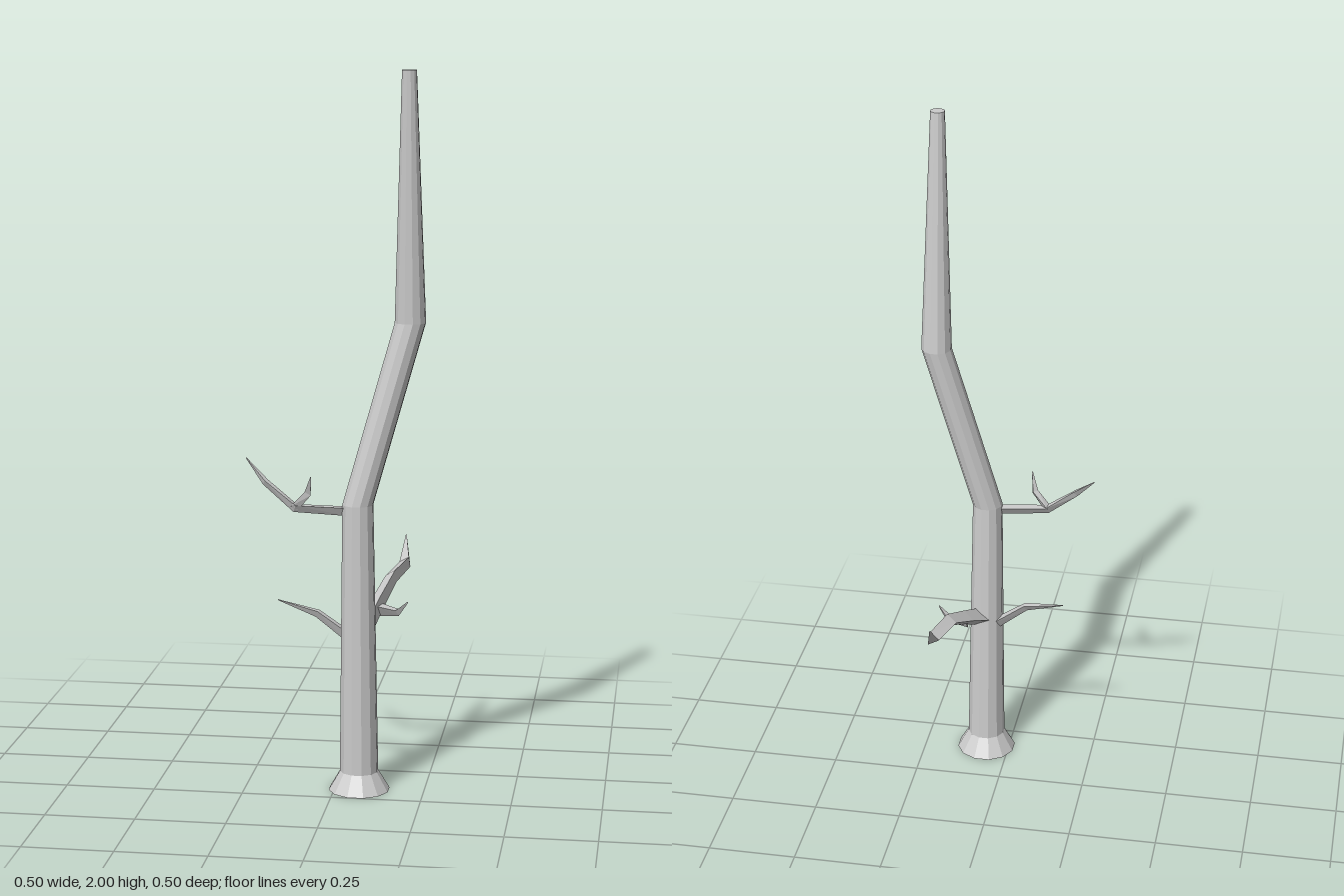
import * as THREE from 'three';

const material = new THREE.MeshStandardMaterial({ color: 0xcccccc, flatShading: true });

// Skins a polyline of [x, y, z, radius] stations with capped polygonal rings.
function limb(name, stations, sides, phase, level = false) {
  const centres = stations.map(([x, y, z]) => new THREE.Vector3(x, y, z));
  const up = new THREE.Vector3(0, 1, 0);
  const last = centres.length - 1;
  const rings = stations.map(([, , , r], i) => {
    const t = new THREE.Vector3();
    if (level) t.copy(up);
    else {
      if (i > 0) t.add(centres[i].clone().sub(centres[i - 1]).normalize());
      if (i < last) t.add(centres[i + 1].clone().sub(centres[i]).normalize());
      t.normalize();
    }
    const u = level ? new THREE.Vector3(0, 0, 1) : t.clone().cross(up).normalize();
    const v = t.clone().cross(u);
    return Array.from({ length: sides }, (_, k) => {
      const a = phase + (k / sides) * Math.PI * 2;
      return centres[i].clone()
        .addScaledVector(u, Math.cos(a) * r)
        .addScaledVector(v, Math.sin(a) * r);
    });
  });

  const points = [];
  for (let k = 0; k < sides; k++) {
    const n = (k + 1) % sides;
    for (let i = 0; i < last; i++) {
      const [a, b, c, d] = [rings[i][k], rings[i][n], rings[i + 1][n], rings[i + 1][k]];
      points.push(a, b, c, a, c, d);
    }
    points.push(centres[0], rings[0][n], rings[0][k]);
    points.push(centres[last], rings[last][k], rings[last][n]);
  }
  const geometry = new THREE.BufferGeometry().setFromPoints(points);
  geometry.computeVertexNormals();
  const mesh = new THREE.Mesh(geometry, material);
  mesh.name = name;
  return mesh;
}

export function createModel() {
  const tree = new THREE.Group();
  tree.name = 'bareTree';

  // Flared foot, bent trunk and cut top
  tree.add(limb('trunk', [
    [0.068, 0, 0.165, 0.086],
    [0.068, 0.055, 0.167, 0.054],
    [0.066, 0.82, 0.184, 0.043],
    [0.204, 1.32, 0.147, 0.043],
    [0.204, 2, 0.199, 0.02],
  ], 12, Math.PI / 12, true));

  // Long branch reaching back, with a small twig
  tree.add(limb('backBranch', [
    [0.08, 0.46, 0.14, 0.029],
    [0.105, 0.51, 0.045, 0.024],
    [0.133, 0.56, -0.06, 0.021],
    [0.158, 0.571, -0.185, 0.02],
    [0.151, 0.636, -0.249, 0.002],
  ], 3, -1.1));
  tree.add(limb('backTwig', [
    [0.105, 0.495, 0.06, 0.023],
    [0.163, 0.49, 0.071, 0.012],
    [0.193, 0.522, 0.083, 0.002],
  ], 3, -0.5));

  // Short low branch on the right
  tree.add(limb('lowBranch', [
    [0.05, 0.43, 0.155, 0.018],
    [-0.05, 0.502, 0.156, 0.013],
    [-0.165, 0.53, 0.135, 0.0015],
  ], 3, -0.5));

  // Higher branch on the right, forking into a twig
  tree.add(limb('highBranch', [
    [0.04, 0.803, 0.187, 0.016],
    [-0.105, 0.81, 0.2, 0.014],
    [-0.19, 0.877, 0.188, 0.011],
    [-0.249, 0.935, 0.153, 0.0015],
  ], 3, -0.5));
  tree.add(limb('highTwig', [
    [-0.108, 0.81, 0.2, 0.013],
    [-0.066, 0.855, 0.216, 0.011],
    [-0.055, 0.905, 0.243, 0.0015],
  ], 3, -0.5));

  return tree;
}
